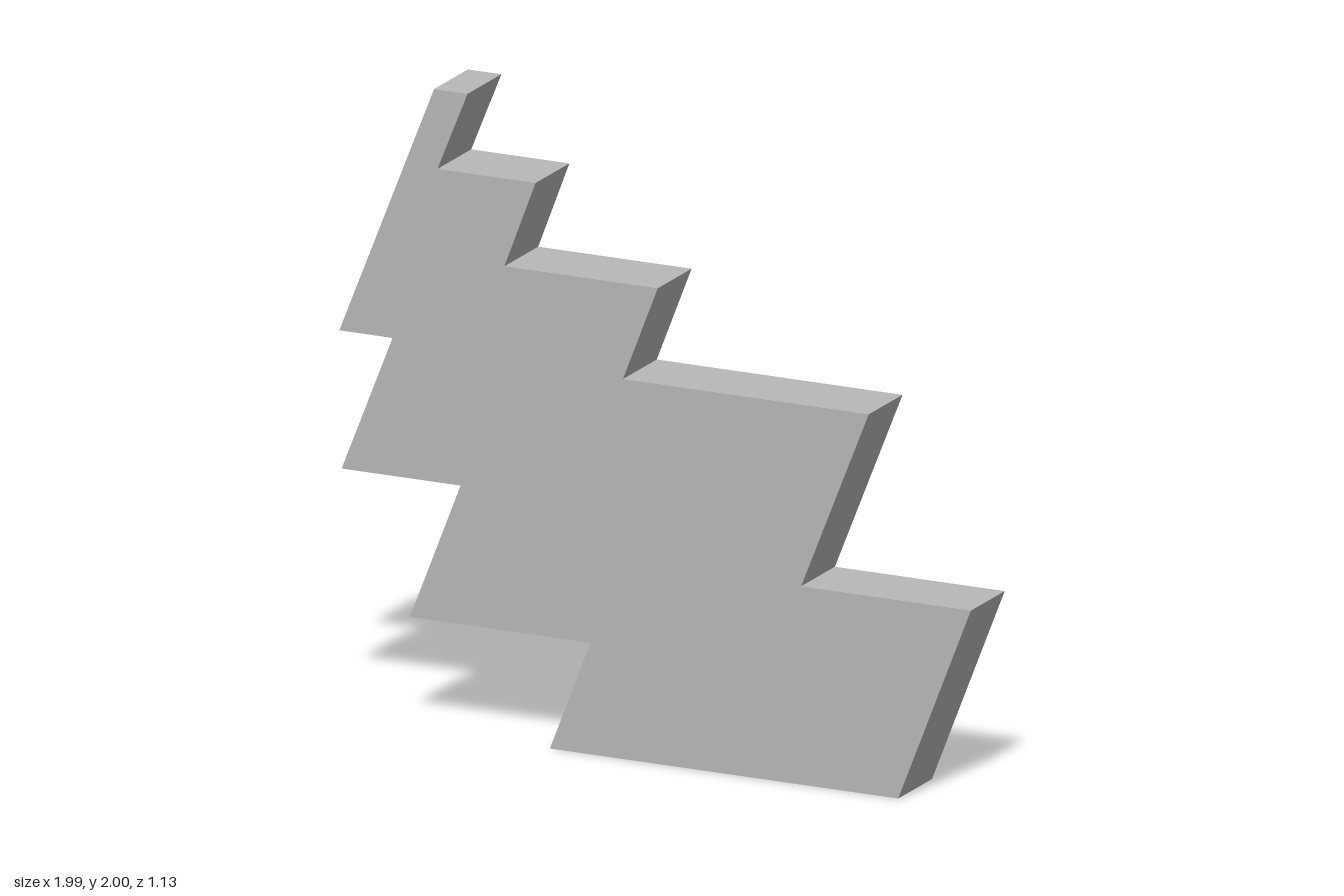
import * as THREE from 'three';

export function createModel() {
  const group = new THREE.Group();
  const grey = new THREE.MeshStandardMaterial({ color: 0xb8b8b8 });
  grey.name = 'plain grey';

  const angle = Math.atan2(0.93, 1.89);
  const front = 0.111, back = -0.115;

  // Slanted stepped outline, counter-clockwise: world x and height of the front edge
  const outline = [
    [-0.267, 0], [0.773, 0], [0.99, 0.617], [0.483, 0.617],
    [0.685, 1.182], [-0.049, 1.182], [0.055, 1.48], [-0.403, 1.48],
    [-0.31, 1.753], [-0.603, 1.753], [-0.513, 2], [-0.613, 2],
    [-0.896, 1.207], [-0.737, 1.207], [-0.889, 0.778], [-0.534, 0.778],
    [-0.685, 0.347], [-0.146, 0.347],
  ];

  // Convert the projected x to distance along the turned slab
  const toSlab = x => (x - front * Math.sin(angle)) / Math.cos(angle);
  const shape = new THREE.Shape(outline.map(([x, y]) => new THREE.Vector2(toSlab(x), y)));

  // Slab of even thickness, turned about the vertical
  const geometry = new THREE.ExtrudeGeometry(shape, { depth: front - back, bevelEnabled: false });
  geometry.translate(0, 0, back);
  geometry.rotateY(angle);

  const slab = new THREE.Mesh(geometry, grey);
  slab.name = 'steppedSlab';
  group.add(slab);
  return group;
}
